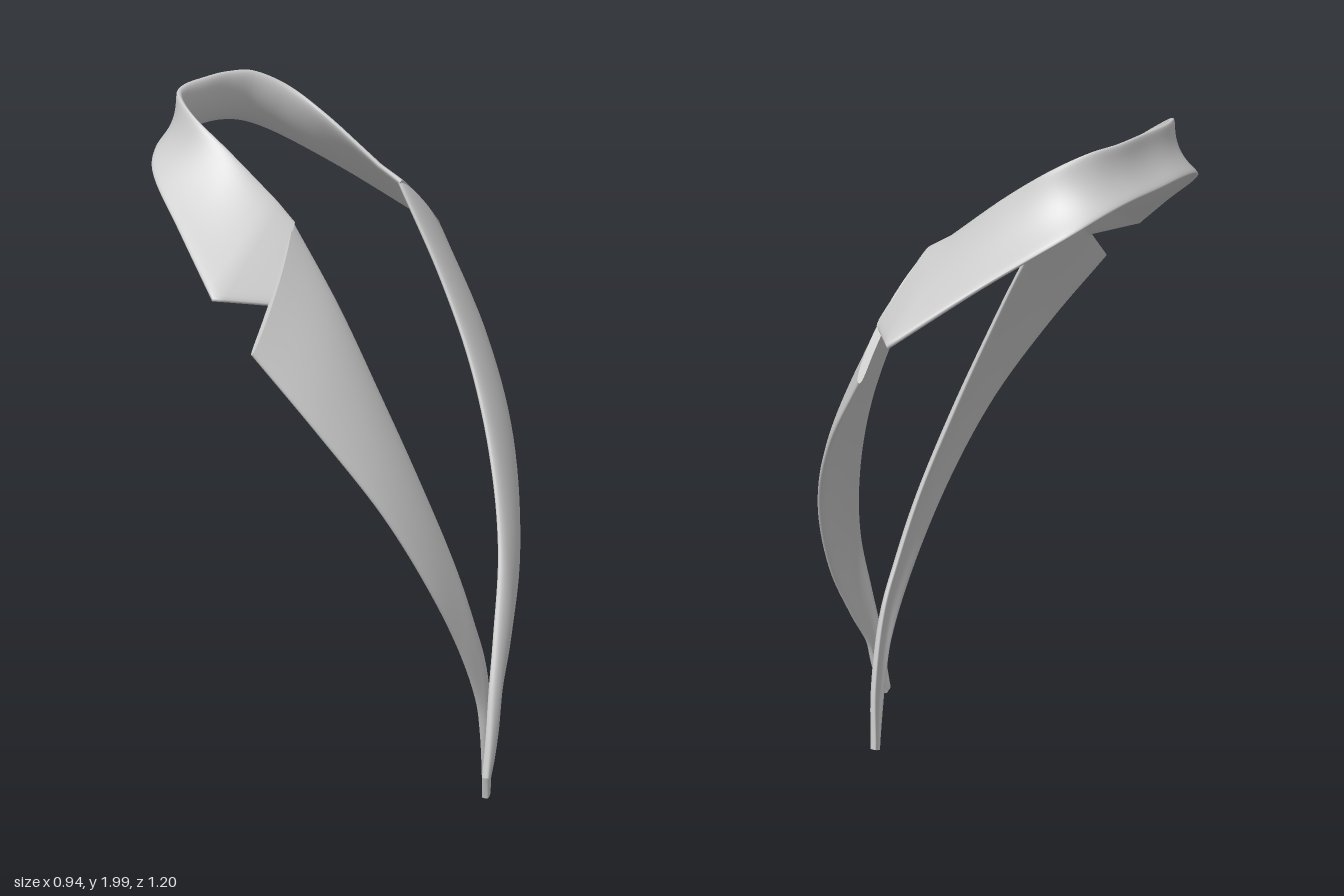
import * as THREE from 'three';

const V = (p) => new THREE.Vector3(...p);
const spline = (pts) => new THREE.CatmullRomCurve3(pts.map(V), false, 'centripetal');

// Rows of [inner, outer] points sampled from two splines through matching keys
function sampleRows(keys, count) {
  const inner = spline(keys.map((k) => k[0]));
  const outer = spline(keys.map((k) => k[1]));
  return Array.from({ length: count + 1 }, (_, i) => [inner.getPoint(i / count), outer.getPoint(i / count)]);
}

// Straight extra rows running from one row to another, the first one left out
function straightRows(from, to, count) {
  return Array.from({ length: count }, (_, i) =>
    [0, 1].map((s) => from[s].clone().lerp(to[s], (i + 1) / count)));
}

// Thin cloth panel: each row becomes a closed section with rounded edges,
// bowed by a share of its width that depends on the position t along the panel
function clothPanel(name, rows, thickness, bowAt) {
  const M = 16, ring = 2 * M + 2, pos = [], index = [];
  const at = (i, v) => rows[i][0].clone().lerp(rows[i][1], v);
  const last = rows.length - 1;
  rows.forEach((row, i) => {
    const across = row[1].clone().sub(row[0]);
    const bow = bowAt(i / last) * across.length();
    for (let j = 0; j < ring; j++) {
      const upper = j <= M;
      const k = upper ? j : ring - 1 - j;
      const v = (1 - Math.cos((Math.PI * k) / M)) / 2;
      const along = at(Math.min(i + 1, last), v).sub(at(Math.max(i - 1, 0), v));
      const normal = along.cross(across).normalize();
      const half = (thickness / 2) * (0.2 + 0.8 * Math.sqrt(1 - Math.abs(2 * v - 1) ** 8));
      const lift = bow * 4 * v * (1 - v) + (upper ? half : -half);
      pos.push(...at(i, v).addScaledVector(normal, lift).toArray());
    }
  });
  for (let i = 0; i < last; i++) {
    for (let j = 0; j < ring; j++) {
      const a = i * ring + j, b = i * ring + ((j + 1) % ring);
      index.push(a, a + ring, b, b, a + ring, b + ring);
    }
  }
  // End caps with their own vertices, so the rim stays crisp
  for (const [row, flip] of [[0, false], [last, true]]) {
    const base = pos.length / 3;
    pos.push(...pos.slice(row * ring * 3, (row + 1) * ring * 3));
    for (let j = 0; j < M; j++) {
      const [a, b, c, d] = [j, j + 1, ring - 2 - j, ring - 1 - j].map((n) => base + n);
      index.push(...(flip ? [a, c, b, a, d, c] : [a, b, c, a, c, d]));
    }
  }
  const geometry = new THREE.BufferGeometry();
  geometry.setAttribute('position', new THREE.Float32BufferAttribute(pos, 3));
  geometry.setIndex(index);
  geometry.computeVertexNormals();
  const mesh = new THREE.Mesh(geometry, new THREE.MeshStandardMaterial({ color: 0xcccccc, side: THREE.DoubleSide }));
  mesh.name = name;
  return mesh;
}

export function createModel() {
  const group = new THREE.Group();
  group.name = 'lapelCollar';

  // Collar: neck edge and fall edge from the nape to one side, then mirrored
  const half = [
    [[-0.42, 1.995, 0], [-0.467, 1.86, 0]],
    [[-0.415, 1.993, 0.12], [-0.46, 1.857, 0.13]],
    [[-0.385, 1.985, 0.2], [-0.44, 1.84, 0.23]],
    [[-0.315, 1.945, 0.255], [-0.395, 1.8, 0.325]],
    [[-0.2, 1.865, 0.275], [-0.24, 1.685, 0.46]],
  ];
  const mirrored = half.slice(1).reverse().map((k) => k.map(([x, y, z]) => [x, y, -z]));
  const rows = sampleRows([
    [[-0.04, 1.74, -0.28], [-0.06, 1.54, -0.597]],
    ...mirrored, ...half,
    [[-0.06, 1.75, 0.28], [-0.08, 1.56, 0.585]],
  ], 80);
  // Notch edges, straight from each collar point to the lapel seam
  const rightEnd = [V([0.025, 1.7, -0.283]), V([0.055, 1.535, -0.48])];
  const leftEnd = [V([-0.01, 1.7, 0.28]), V([0.025, 1.535, 0.48])];
  const rightRows = straightRows(rows[0], rightEnd, 5).reverse();
  const leftRows = straightRows(rows[rows.length - 1], leftEnd, 5);
  // The roll is strongest round the nape and flattens out at the notches
  const roll = (t) => 0.13 * THREE.MathUtils.smoothstep(Math.min(t, 1 - t), 0, 0.3);
  group.add(clothPanel('collar', [...rightRows, ...rows, ...leftRows], 0.022, roll));

  // Left lapel, passing underneath at the crossing
  const left = sampleRows([
    [[-0.02, 1.705, 0.278], [0.035, 1.44, 0.597]],
    [[0.1, 1.5, 0.265], [0.18, 1.23, 0.52]],
    [[0.21, 1.25, 0.23], [0.305, 1.0, 0.41]],
    [[0.285, 1.05, 0.188], [0.38, 0.76, 0.28]],
    [[0.36, 0.8, 0.115], [0.41, 0.52, 0.13]],
    [[0.395, 0.6, 0.045], [0.418, 0.33, 0.03]],
    [[0.405, 0.46, -0.015], [0.418, 0.22, 0]],
    [[0.408, 0.23, -0.067], [0.412, 0.1, -0.032]],
    [[0.403, 0.02, -0.085], [0.405, 0.008, -0.058]],
  ], 60);
  group.add(clothPanel('leftLapel', left, 0.02, () => -0.05));

  // Right lapel, passing on top at the crossing
  const right = sampleRows([
    [[0.018, 1.7, -0.283], [0.03, 1.43, -0.597]],
    [[0.15, 1.45, -0.275], [0.19, 1.2, -0.52]],
    [[0.26, 1.22, -0.243], [0.325, 0.95, -0.4]],
    [[0.35, 0.98, -0.185], [0.415, 0.66, -0.24]],
    [[0.41, 0.75, -0.115], [0.44, 0.46, -0.115]],
    [[0.435, 0.53, -0.035], [0.45, 0.33, -0.03]],
    [[0.447, 0.38, 0.018], [0.457, 0.24, 0]],
    [[0.456, 0.25, 0.053], [0.459, 0.175, 0.028]],
    [[0.459, 0.145, 0.076], [0.459, 0.132, 0.052]],
  ], 60);
  group.add(clothPanel('rightLapel', right, 0.02, () => 0.05));

  return group;
}
